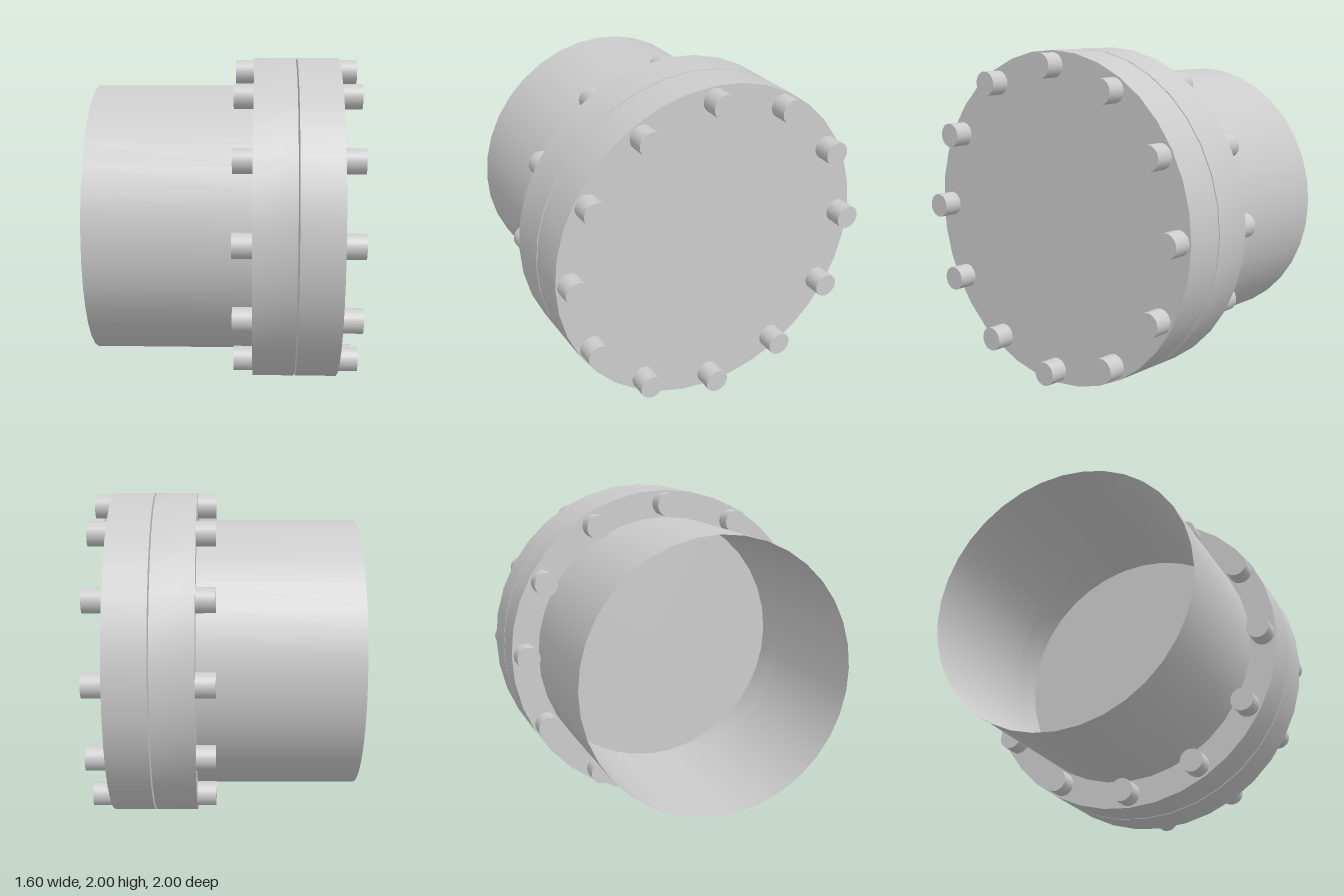
import * as THREE from 'three';
import { toCreasedNormals } from 'three/addons/utils/BufferGeometryUtils.js';

const SEGMENTS = 36;
const PIPE_RADIUS = 0.83;
const BOLT_COUNT = 12;
const BOLT_CIRCLE = 0.915;

export function createModel() {
  const group = new THREE.Group();
  const metal = new THREE.MeshStandardMaterial({ color: 0xcccccc });
  const sheet = new THREE.MeshStandardMaterial({ color: 0xcccccc, side: THREE.DoubleSide });

  // Adds a part turned about the shared horizontal axis, at a height of 1.
  function add(name, geometry, material, x = 0, y = 0, z = 0) {
    const mesh = new THREE.Mesh(geometry, material);
    mesh.name = name;
    mesh.position.set(x, 1 + y, z);
    group.add(mesh);
  }

  // Solid or open cylinder lying along x.
  function cylinderX(radius, length, segments, open = false) {
    return new THREE.CylinderGeometry(radius, radius, length, segments, 1, open).rotateZ(-Math.PI / 2);
  }

  // Thin-walled pipe, open at its far end
  add('pipe', cylinderX(PIPE_RADIUS, 0.97, SEGMENTS, true), sheet, -0.315);

  // Flange ring around the pipe end, with the bore left open
  const section = [
    [PIPE_RADIUS, 0.17], [1, 0.17], [1, 0.423], [PIPE_RADIUS, 0.423], [PIPE_RADIUS, 0.17],
  ].map(([r, h]) => new THREE.Vector2(r, h));
  const ring = new THREE.LatheGeometry(section, SEGMENTS).rotateZ(-Math.PI / 2);
  add('flangeRing', toCreasedNormals(ring, 0.6), metal);

  // Blind cover plate, a narrow gap away from the ring
  add('coverPlate', cylinderX(1, 0.253, SEGMENTS), metal, 0.5585);

  // Bolt heads and nuts on both outer faces
  const bolt = cylinderX(0.073, 0.115, 24);
  for (let i = 0; i < BOLT_COUNT; i++) {
    const angle = (i / BOLT_COUNT) * Math.PI * 2;
    const y = BOLT_CIRCLE * Math.cos(angle);
    const z = BOLT_CIRCLE * Math.sin(angle);
    add('nut', bolt, metal, 0.1125, y, z);
    add('boltHead', bolt, metal, 0.7425, y, z);
  }

  return group;
}
